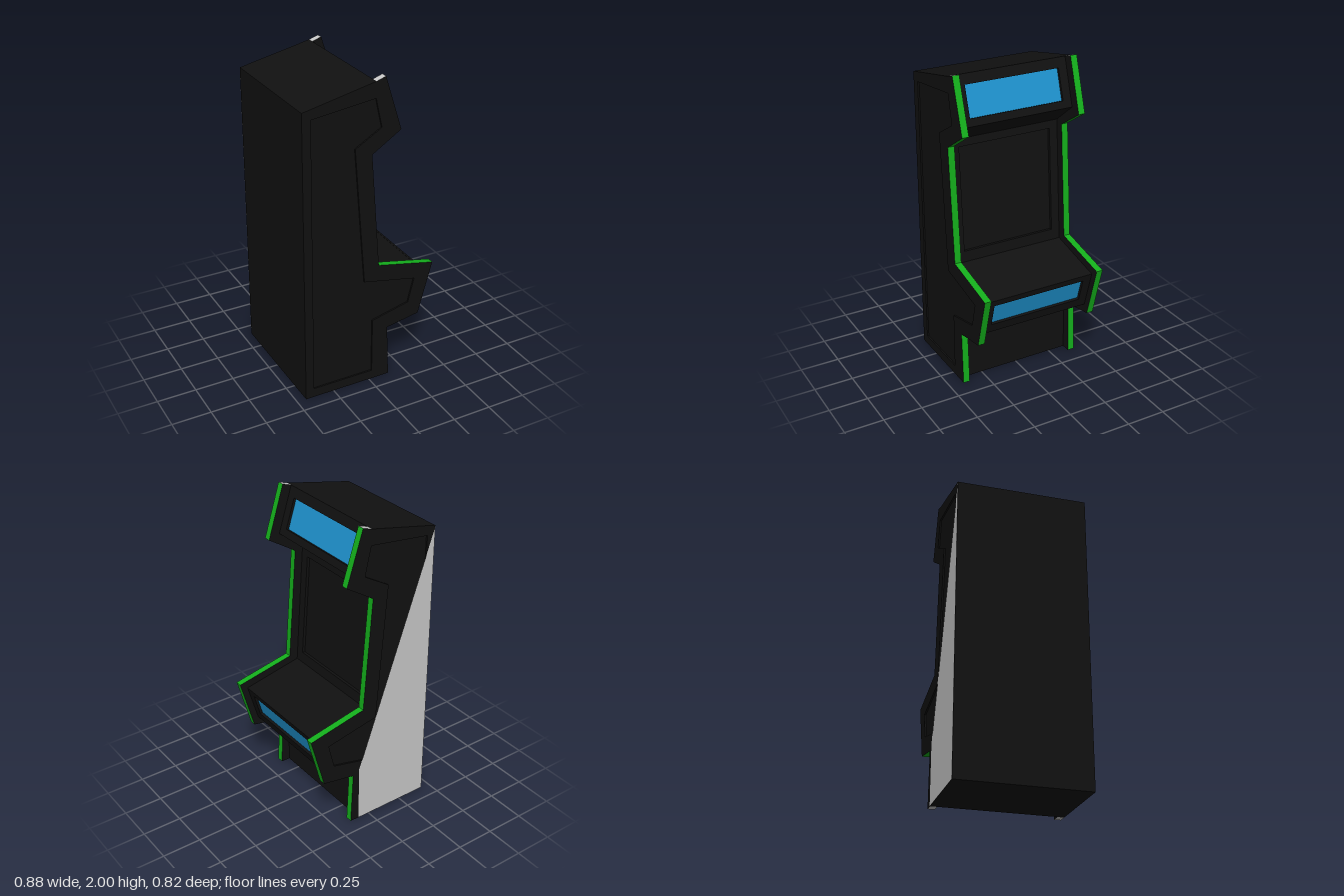
import * as THREE from 'three';

const paint = (color) => new THREE.MeshStandardMaterial({ color, side: THREE.DoubleSide });
const BLACK = paint(0x111111);
const GREEN = paint(0x14b01c);
const BLUE = paint(0x1f94d0);
const GREY = paint(0xcccccc);

const INNER = 0.365; // inside face of the side panels
const OUTER = 0.408; // outside face of the side panels

const v2 = (list) => list.map(([x, y]) => new THREE.Vector2(x, y));

// Side panel outline, counter-clockwise from the bottom of the back
const OUTLINE = v2([
  [-0.44, 0], [0.08, 0], [0.14, 0], [0.125, 0.35], [0.345, 0.39], [0.438, 0.73],
  [0.057, 0.81], [0, 1.545], [0.187, 1.665], [0.08, 2], [0.02, 1.98], [-0.44, 1.88],
]);
const EDGE_PAINT = [BLACK, GREY, GREEN, GREEN, GREEN, GREEN, GREEN, GREEN, GREEN, GREY, BLACK, BLACK];

// Shallow sunk field on the outside of each side panel
const FIELD = v2([
  [-0.385, 0.06], [0.02, 0.06], [0.02, 0.43], [0.27, 0.49], [0.31, 0.65],
  [-0.04, 0.72], [-0.11, 1.6], [0.06, 1.7], [0.02, 1.88], [-0.385, 1.83],
]);

// Cabinet body between the panels
const BODY = v2([
  [-0.44, 0], [0.08, 0], [0.075, 0.39], [0.315, 0.44], [0.385, 0.69],
  [0, 0.772], [-0.055, 1.56], [0.112, 1.69], [0.02, 1.98], [-0.44, 1.88],
]);

function add(parent, name, geometry, material) {
  const mesh = new THREE.Mesh(geometry, material);
  mesh.name = name;
  parent.add(mesh);
  return mesh;
}

// Flat strip spanning z0..z1 along one profile edge
function strip(a, b, z0, z1) {
  const g = new THREE.BufferGeometry();
  g.setAttribute('position', new THREE.Float32BufferAttribute(
    [a.x, a.y, z0, a.x, a.y, z1, b.x, b.y, z1, b.x, b.y, z0], 3));
  g.setIndex([0, 2, 1, 0, 3, 2]);
  g.computeVertexNormals();
  return g;
}

// Flat face at depth z, turned to face +z or -z
function face(points, z, sign, hole) {
  const shape = new THREE.Shape(points);
  if (hole) shape.holes.push(new THREE.Path(hole));
  const g = new THREE.ShapeGeometry(shape);
  if (sign < 0) {
    const idx = g.index.array;
    for (let i = 0; i < idx.length; i += 3) [idx[i], idx[i + 1]] = [idx[i + 1], idx[i]];
    g.computeVertexNormals();
  }
  return g.translate(0, 0, z);
}

function sidePanel(sign, name) {
  const panel = new THREE.Group();
  panel.name = name;
  const floor = OUTER - 0.01;
  add(panel, 'innerFace', face(OUTLINE, sign * INNER, -sign), BLACK);
  add(panel, 'outerRim', face(OUTLINE, sign * OUTER, sign, FIELD), BLACK);
  add(panel, 'sunkField', face(FIELD, sign * floor, sign), BLACK);
  const lo = Math.min(sign * INNER, sign * OUTER);
  const hi = Math.max(sign * INNER, sign * OUTER);
  OUTLINE.forEach((p, i) => {
    add(panel, 'edgeTrim', strip(p, OUTLINE[(i + 1) % OUTLINE.length], lo, hi), EDGE_PAINT[i]);
  });
  FIELD.forEach((p, i) => {
    const q = FIELD[(i + 1) % FIELD.length];
    add(panel, 'fieldWall', strip(q, p, Math.min(sign * floor, sign * OUTER), Math.max(sign * floor, sign * OUTER)), BLACK);
  });
  return panel;
}

// Frame along the edge a-b with a sunk pane inside it
function framedPane(name, a, b, bottom, top, halfWidth, depth, material) {
  const group = new THREE.Group();
  group.name = name;
  const length = a.distanceTo(b);
  const rect = (w, y0, y1) => v2([[-w, y0], [w, y0], [w, y1], [-w, y1]]);
  const shape = new THREE.Shape(rect(INNER, 0, length));
  shape.holes.push(new THREE.Path(rect(halfWidth, bottom, length - top)));
  const frame = new THREE.ExtrudeGeometry(shape, { depth, bevelEnabled: false });
  add(group, 'frame', frame.translate(0, 0, -depth), BLACK);
  add(group, 'pane', face(rect(halfWidth, bottom, length - top), -depth + 0.001, 1), material);
  const up = new THREE.Vector3(b.x - a.x, b.y - a.y, 0).normalize();
  const across = new THREE.Vector3(0, 0, -1);
  const out = new THREE.Vector3().crossVectors(across, up);
  group.quaternion.setFromRotationMatrix(new THREE.Matrix4().makeBasis(across, up, out));
  group.position.set(a.x, a.y, 0);
  return group;
}

export function createModel() {
  const model = new THREE.Group();
  model.name = 'arcadeCabinet';

  model.add(sidePanel(1, 'nearSidePanel'), sidePanel(-1, 'farSidePanel'));

  // Body skin; the edges 3, 5 and 7 carry framed panes instead
  const names = ['base', 'kickPlate', 'controlUnderside', '', 'controlDeck', '', 'marqueeUnderside', '', 'roof', 'back'];
  BODY.forEach((p, i) => {
    if (names[i]) add(model, names[i], strip(p, BODY[(i + 1) % BODY.length], -INNER, INNER), BLACK);
  });
  model.add(
    framedPane('controlFront', BODY[3], BODY[4], 0.062, 0.042, 0.31, 0.018, BLUE),
    framedPane('screen', BODY[5], BODY[6], 0.07, 0.05, 0.31, 0.02, BLACK),
    framedPane('marquee', BODY[7], BODY[8], 0.047, 0.063, 0.31, 0.018, BLUE),
  );

  // Bare patch on the far side
  const patch = v2([[-0.44, 0], [0.08, 0], [0.08, 0.38], [-0.44, 1.87]]);
  add(model, 'barePatch', face(patch, -OUTER - 0.001, -1), GREY);

  return model;
}
